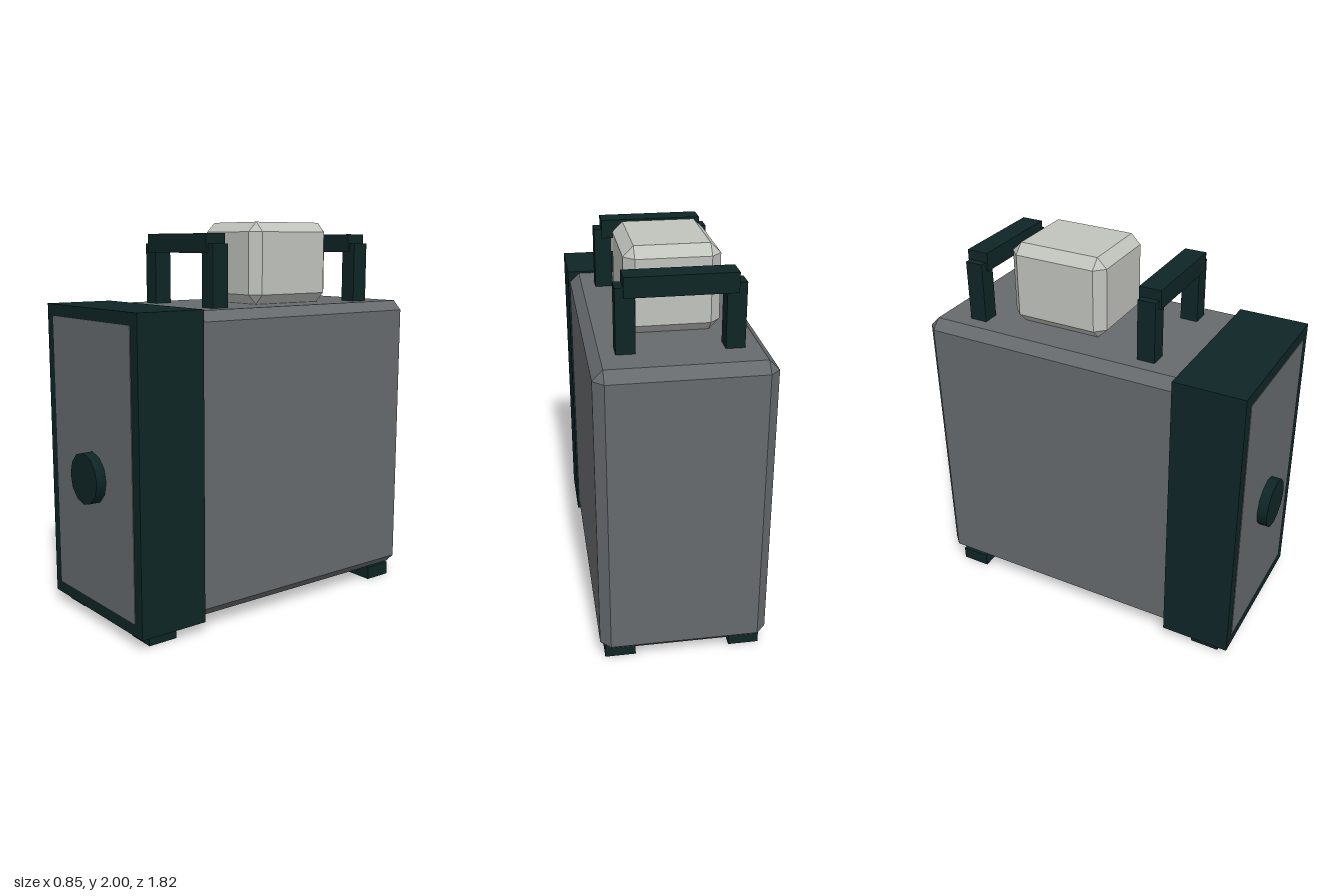
import * as THREE from 'three';
import { ConvexGeometry } from 'three/addons/geometries/ConvexGeometry.js';

const mat = (name, color) => {
  const m = new THREE.MeshStandardMaterial({ color });
  m.name = name;
  return m;
};

// Box with every edge and corner cut flat by c
function chamferedBox(w, h, d, c) {
  const half = [w / 2, h / 2, d / 2];
  const points = [];
  for (const sx of [-1, 1]) for (const sy of [-1, 1]) for (const sz of [-1, 1]) {
    for (let axis = 0; axis < 3; axis++) {
      const p = half.map((v, i) => (i === axis ? v : v - c));
      points.push(new THREE.Vector3(sx * p[0], sy * p[1], sz * p[2]));
    }
  }
  return new ConvexGeometry(points);
}

export function createModel() {
  const model = new THREE.Group();
  model.name = 'cabinet';
  const grey = mat('grey metal', 0x666a6d);
  const dark = mat('dark teal', 0x0e2526);
  const light = mat('pale grey', 0xc1c3bd);

  // Adds a part filling the given ranges; a chamfer is optional
  function part(name, material, [x0, x1], [y0, y1], [z0, z1], chamfer = 0, parent = model) {
    const size = [x1 - x0, y1 - y0, z1 - z0];
    const geo = chamfer ? chamferedBox(...size, chamfer) : new THREE.BoxGeometry(...size);
    const mesh = new THREE.Mesh(geo, material);
    mesh.name = name;
    mesh.position.set((x0 + x1) / 2, (y0 + y1) / 2, (z0 + z1) / 2);
    parent.add(mesh);
  }

  // Main casing and the unit on top
  part('body', grey, [-0.417, 0.417], [0.065, 1.58], [-0.91, 0.54], 0.05);
  part('topUnit', light, [-0.228, 0.228], [1.58, 2], [-0.5, 0.025], 0.05);

  // Front housing with its inset panel
  part('frontHousing', dark, [-0.427, 0.427], [0.055, 1.59], [0.49, 0.855]);
  part('frontPanel', grey, [-0.367, 0.367], [0.118, 1.53], [0.852, 0.858]);

  // Round knob
  const knob = new THREE.Mesh(new THREE.CylinderGeometry(0.13, 0.13, 0.06, 12), dark);
  knob.name = 'knob';
  knob.rotation.x = Math.PI / 2;
  knob.position.set(0, 0.76, 0.88);
  model.add(knob);

  // Two carrying handles
  for (const [name, z] of [['frontHandle', 0.293], ['backHandle', -0.66]]) {
    const handle = new THREE.Group();
    handle.name = name;
    handle.position.z = z;
    for (const s of [-1, 1]) {
      const x = s * 0.25;
      part('handlePost', dark, [x - 0.045, x + 0.045], [1.57, 1.89], [-0.046, 0.046], 0, handle);
    }
    part('handleBar', dark, [-0.257, 0.257], [1.845, 1.94], [-0.057, 0.057], 0, handle);
    model.add(handle);
  }

  // Four feet
  for (const x of [-0.315, 0.315]) for (const z of [-0.763, 0.717]) {
    part('foot', dark, [x - 0.077, x + 0.077], [0, 0.07], [z - 0.077, z + 0.077]);
  }
  return model;
}
